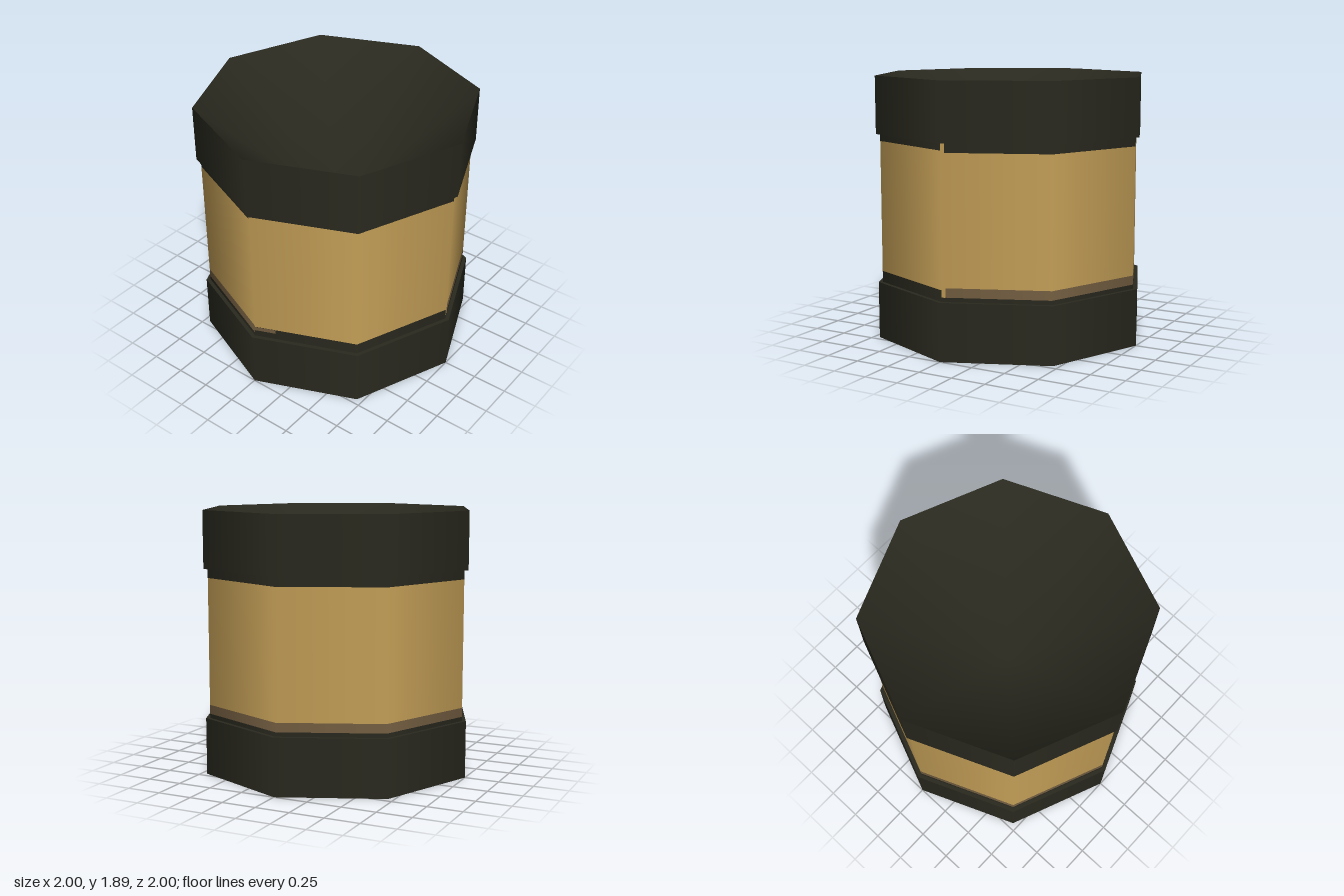
import * as THREE from 'three';
import { mergeVertices } from 'three/addons/utils/BufferGeometryUtils.js';

const SIDES = 8, STEP = (Math.PI * 2) / SIDES;
const CAP_R = 1, CORE_R = 0.97, HEIGHT = 1.89, CAP_H = 0.41, HOLLOW = 0.88;

export function createModel() {
  const group = new THREE.Group();
  const mat = (name, color) => {
    const m = new THREE.MeshStandardMaterial({ color });
    m.name = name;
    return m;
  };
  const dark = mat('dark olive', 0x29291f);
  const gold = mat('gold', 0xc49f57);
  const brown = mat('brown', 0x755f42);

  const add = (parent, name, geometry, material, y) => {
    const mesh = new THREE.Mesh(geometry, material);
    mesh.name = name;
    mesh.position.y = y;
    parent.add(mesh);
  };

  // Octagonal end caps: wall, inner ledge and a smooth-shaded hollow end
  const wall = new THREE.CylinderGeometry(CAP_R, CAP_R, CAP_H, SIDES, 1, true);
  const ledge = new THREE.RingGeometry(CORE_R - 0.03, CAP_R, SIDES).rotateX(Math.PI / 2);
  const disc = new THREE.CircleGeometry(CAP_R, SIDES).rotateX(-Math.PI / 2);
  disc.attributes.position.setY(0, -HOLLOW); // sink the centre
  disc.deleteAttribute('uv');
  disc.deleteAttribute('normal');
  const hollow = mergeVertices(disc);
  hollow.computeVertexNormals();

  const addCap = (name, y, flip) => {
    const cap = new THREE.Group();
    cap.name = name;
    add(cap, 'capWall', wall, dark, 0);
    add(cap, 'capLedge', ledge, dark, -CAP_H / 2);
    add(cap, 'capHollow', hollow, dark, CAP_H / 2);
    cap.position.y = y;
    cap.rotation.x = flip;
    group.add(cap);
  };
  addCap('bottomCap', CAP_H / 2, Math.PI);
  addCap('topCap', HEIGHT - CAP_H / 2, 0);

  // Painted bands around the core, over a run of its sides
  const band = (name, material, y0, y1, firstSide, sides) => add(group, name,
    new THREE.CylinderGeometry(CORE_R, CORE_R, y1 - y0, sides, 1, true, firstSide * STEP, sides * STEP),
    material, (y0 + y1) / 2);

  band('lowerRim', dark, 0.4, 0.44, 0, 6);
  band('lowerStripe', brown, 0.44, 0.505, 0, 6);
  band('body', gold, 0.505, 1.415, 0, 6);
  band('upperRim', dark, 1.415, 1.49, 0, 6);

  // The two front sides at -x have a taller rim and no stripe
  band('frontLowerRim', dark, 0.4, 0.49, 6, 2);
  band('frontBody', gold, 0.49, 1.43, 6, 2);
  band('frontUpperRim', dark, 1.43, 1.49, 6, 2);

  // Thin painted patch lying on one side, between fractions t0 and t1 of its width
  const patch = (name, material, y0, y1, side, t0, t1) => {
    const width = 2 * CORE_R * Math.sin(STEP / 2);
    const g = new THREE.PlaneGeometry(width * (t1 - t0), y1 - y0);
    g.translate(width * ((t0 + t1) / 2 - 0.5), 0, CORE_R * Math.cos(STEP / 2) + 0.002);
    g.rotateY((side + 0.5) * STEP);
    // Radial normals match the smooth core
    const p = g.attributes.position, n = new THREE.Vector3();
    for (let i = 0; i < p.count; i++) {
      n.set(p.getX(i), 0, p.getZ(i)).normalize();
      g.attributes.normal.setXYZ(i, n.x, n.y, n.z);
    }
    add(group, name, g, material, (y0 + y1) / 2);
  };
  patch('seam', gold, 0.44, 1.48, 0, 0, 0.035);
  patch('stripeEnd', brown, 0.46, 0.49, 6, 0, 0.21);

  return group;
}
